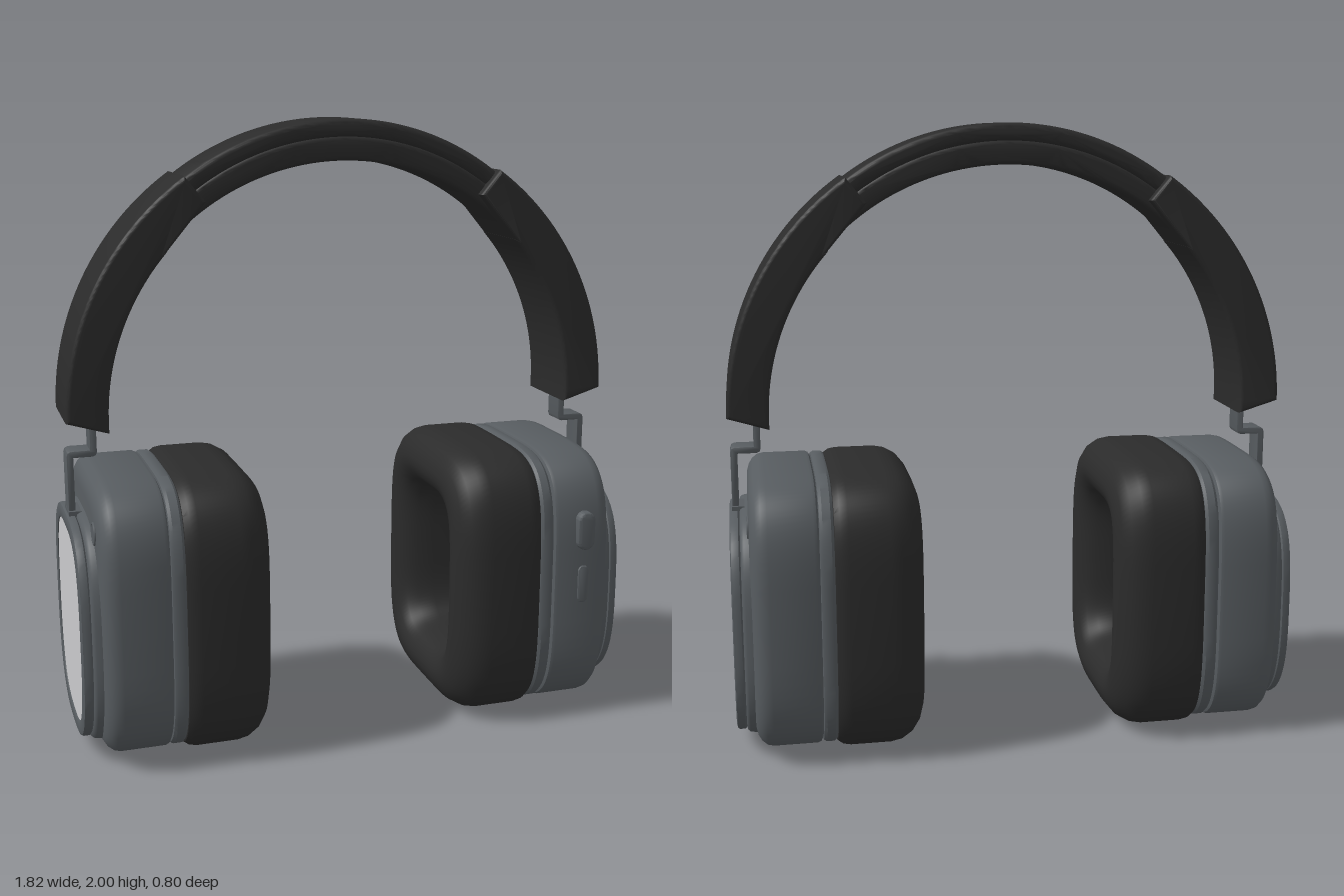
import * as THREE from 'three';
import { toCreasedNormals } from 'three/addons/utils/BufferGeometryUtils.js';

const mat = (name, color) => {
  const m = new THREE.MeshStandardMaterial({ color });
  m.name = name;
  return m;
};

// Closed loft of superellipse rings from +x to -x; each ring is [x, halfZ, halfY]
function loft(rings, cy, topPower, bottomPower, segs = 80) {
  const pos = [], index = [];
  for (const [x, a, b] of rings) {
    for (let j = 0; j < segs; j++) {
      const t = (j / segs) * Math.PI * 2, c = Math.cos(t), s = Math.sin(t);
      const e = 2 / (s >= 0 ? topPower : bottomPower);
      pos.push(x, cy + b * Math.sign(s) * Math.abs(s) ** e, a * Math.sign(c) * Math.abs(c) ** e);
    }
  }
  const last = rings.length - 1, c0 = rings.length * segs;
  pos.push(rings[0][0], cy, 0, rings[last][0], cy, 0);
  for (let j = 0; j < segs; j++) {
    const k = (j + 1) % segs;
    for (let i = 0; i < last; i++) {
      const p = i * segs, q = p + segs;
      index.push(p + j, p + k, q + j, p + k, q + k, q + j);
    }
    index.push(c0, k, j, c0 + 1, last * segs + j, last * segs + k);
  }
  const g = new THREE.BufferGeometry();
  g.setAttribute('position', new THREE.Float32BufferAttribute(pos, 3));
  g.setIndex(index);
  return toCreasedNormals(g, 0.65);
}

// Rings given as [x, inset] from one base outline
const inset = (a, b, list) => list.map(([x, d]) => [x, a - d, b - d]);

// Shape in the xy plane, extruded symmetrically about z = 0 with rounded edges
function slab(shape, width, bevel) {
  const g = new THREE.ExtrudeGeometry(shape, {
    depth: width - 2 * bevel, bevelEnabled: bevel > 0, bevelThickness: bevel,
    bevelSize: bevel, bevelOffset: -bevel, bevelSegments: 4, curveSegments: 40,
  });
  g.translate(0, 0, -(width - 2 * bevel) / 2);
  return toCreasedNormals(g, 0.6);
}

function add(group, name, geometry, material, x = 0, y = 0, z = 0) {
  const m = new THREE.Mesh(geometry, material);
  m.name = name;
  m.position.set(x, y, z);
  group.add(m);
  return m;
}

const HUB = 1.09; // height of the headband arc centre

function archShape(ax, ay, bx, by, start) {
  const s = new THREE.Shape();
  s.absellipse(0, HUB, ax, ay, start, Math.PI - start, false, 0);
  s.absellipse(0, HUB, bx, by, Math.PI - start, start, true, 0);
  s.closePath();
  return s;
}

function sliderShape() {
  const s = new THREE.Shape();
  s.moveTo(0.908, 1.05);
  s.absarc(0, HUB, 0.908, 0, 0.961, false);
  s.lineTo(0.455, 1.755);
  s.lineTo(0.58, 1.607);
  s.absarc(0, HUB, 0.775, 0.731, 0, true);
  s.lineTo(0.775, 1.05);
  s.closePath();
  return s;
}

function pillShape(w, h) {
  const s = new THREE.Shape(), r = w / 2, k = h / 2 - r;
  s.absarc(0, k, r, 0, Math.PI, false);
  s.absarc(0, -k, r, Math.PI, Math.PI * 2, false);
  s.closePath();
  return s;
}

export function createModel() {
  const black = mat('soft black', 0x2b2b2b);
  const grey = mat('slate grey', 0x575c60);
  const silver = mat('light silver', 0xcacacc);
  const model = new THREE.Group();
  model.name = 'headphones';

  // Headband: outer strap with a pad beneath it
  const band = new THREE.Group();
  band.name = 'headband';
  add(band, 'bandStrap', slab(archShape(0.885, 0.91, 0.83, 0.853, 0.6), 0.216, 0.018), black);
  add(band, 'bandPad', slab(archShape(0.838, 0.857, 0.785, 0.78, 0.6), 0.208, 0.015), black);
  model.add(band);

  const stemShape = new THREE.Shape([
    [0.804, 1.1], [0.826, 1.1], [0.826, 0.979], [0.887, 0.979], [0.897, 0.974], [0.901, 0.963],
    [0.901, 0.74], [0.879, 0.74], [0.879, 0.957], [0.818, 0.957], [0.808, 0.961], [0.804, 0.971],
  ].map(([x, y]) => new THREE.Vector2(x, y)));

  const parts = {
    slider: [slab(sliderShape(), 0.28, 0.014), black],
    stem: [slab(stemShape, 0.08, 0.003), grey],
    // Ear cushion, running round the rim and down into the opening
    cushion: [loft(inset(0.392, 0.46, [
      [0.6, 0.04], [0.592, 0.015], [0.575, 0.004], [0.55, 0], [0.42, 0], [0.385, 0.006],
      [0.35, 0.025], [0.325, 0.055], [0.312, 0.09], [0.312, 0.115], [0.322, 0.145],
      [0.345, 0.17], [0.38, 0.188], [0.44, 0.198], [0.56, 0.2],
    ]), 0.46, 4.2, 3.8), black],
    seamRing: [loft(inset(0.382, 0.448, [
      [0.64, 0.02], [0.637, 0.006], [0.628, 0], [0.602, 0], [0.594, 0.006], [0.591, 0.02],
    ]), 0.463, 4.2, 3.8), grey],
    shell: [loft(inset(0.385, 0.449, [
      [0.852, 0.075], [0.85, 0.055], [0.844, 0.034], [0.832, 0.016], [0.815, 0.004], [0.795, 0],
      [0.655, 0], [0.645, 0.004], [0.639, 0.015],
    ]), 0.463, 4.2, 3.8), grey],
    // Stepped oval rim around the outer plate
    plateRim: [loft(inset(0.318, 0.363, [
      [0.9, 0.047], [0.909, 0.045], [0.911, 0.04], [0.911, 0.012], [0.908, 0.003], [0.902, 0],
      [0.884, 0], [0.879, 0.006], [0.876, -0.004], [0.868, -0.01], [0.84, -0.014],
    ]), 0.409, 3.3, 2.8), grey],
    plate: [loft([[0.906, 0.272, 0.317], [0.9, 0.272, 0.317]], 0.409, 3.3, 2.8), silver],
  };

  // Two earpieces, the second turned half round
  for (const side of ['left', 'right']) {
    const ear = new THREE.Group();
    ear.name = side + 'Earpiece';
    for (const [name, [geometry, material]] of Object.entries(parts)) {
      add(ear, name, geometry, material);
    }
    add(ear, 'stemFoot', new THREE.BoxGeometry(0.04, 0.02, 0.105), grey, 0.882, 0.775, 0);

    // Round sensor in the upper corner of the shell
    const sensor = add(ear, 'sensor', new THREE.CylinderGeometry(0.028, 0.028, 0.006, 32), grey, 0.853, 0.77, -0.25);
    sensor.rotation.z = -Math.PI / 2;
    const bezel = add(ear, 'sensorBezel', new THREE.TorusGeometry(0.032, 0.005, 8, 36), grey, 0.852, 0.77, -0.25);
    bezel.rotation.y = Math.PI / 2;

    if (side === 'left') {
      // Controls on the front edge and charging slot below
      add(ear, 'rockerButton', slab(pillShape(0.062, 0.13), 0.05, 0.01), grey, 0.745, 0.668, 0.38);
      add(ear, 'smallButton', slab(pillShape(0.038, 0.13), 0.03, 0.005), grey, 0.745, 0.48, 0.375);
      add(ear, 'chargingSlot', new THREE.BoxGeometry(0.034, 0.008, 0.1), black, 0.745, 0.0145, 0);
    } else {
      ear.rotation.y = Math.PI;
    }
    model.add(ear);
  }

  model.position.z = -0.005;
  const root = new THREE.Group();
  root.name = 'headphonesRoot';
  root.add(model);
  return root;
}
